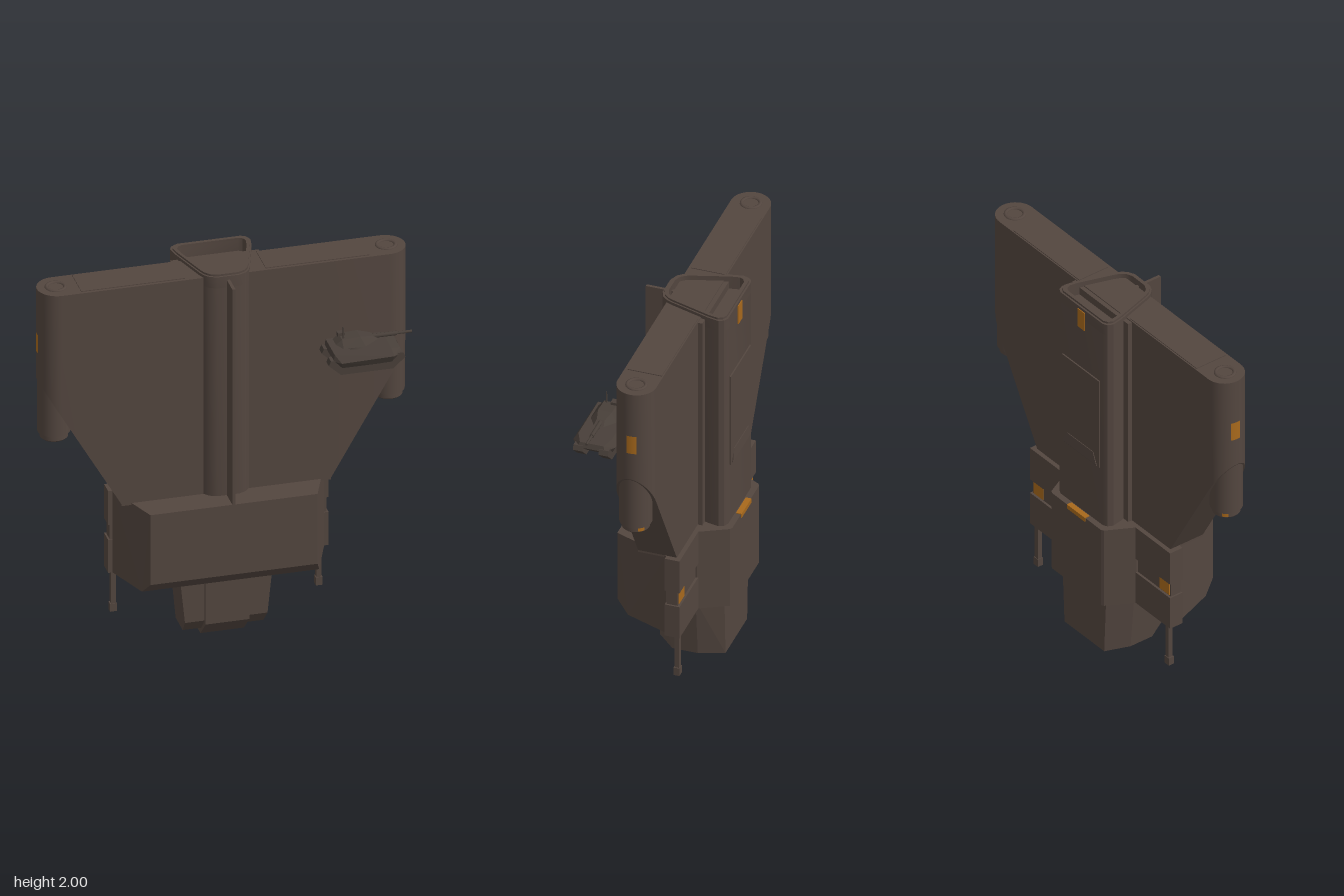
import * as THREE from 'three';
import { toCreasedNormals } from 'three/addons/utils/BufferGeometryUtils.js';
import { ConvexGeometry } from 'three/addons/geometries/ConvexGeometry.js';

const mat = (name, color) => Object.assign(new THREE.MeshStandardMaterial({ color }), { name });

export function createModel() {
  const hull = mat('hull brown', 0x53463f);
  const dark = mat('tank brown', 0x483f39);
  const amber = mat('amber marking', 0xa8691c);
  const root = new THREE.Group();
  root.name = 'tower ship';

  const add = (name, geo, material = hull, parent = root) => {
    const m = new THREE.Mesh(geo, material);
    m.name = name;
    parent.add(m);
    return m;
  };
  // Box given by its limits on each axis
  const box = (name, x0, x1, y0, y1, z0, z1, material, parent) =>
    add(name, new THREE.BoxGeometry(x1 - x0, y1 - y0, z1 - z0)
      .translate((x0 + x1) / 2, (y0 + y1) / 2, (z0 + z1) / 2), material, parent);
  const cyl = (name, rt, rb, y0, y1, x, z, material, parent, n = 32) =>
    add(name, new THREE.CylinderGeometry(rt, rb, y1 - y0, n).translate(x, (y0 + y1) / 2, z), material, parent);
  // Plan outline in x and z, raised from y0 to y1
  const path = pts => pts.map(([x, z]) => new THREE.Vector2(x, -z));
  const prism = (pts, y0, y1, hole) => {
    const s = new THREE.Shape(path(pts));
    if (hole) s.holes.push(new THREE.Path(path(hole)));
    return new THREE.ExtrudeGeometry(s, { depth: y1 - y0, bevelEnabled: false })
      .rotateX(-Math.PI / 2).translate(0, y0, 0);
  };
  const mirror = pts => [...pts, ...pts.map(([x, z]) => [-x, z]).reverse()];
  // Convex solid from half-side points, mirrored across x
  const solid = pts => new ConvexGeometry(
    pts.flatMap(([x, y, z]) => [new THREE.Vector3(x, y, z), new THREE.Vector3(-x, y, z)]));

  // Wing: centre slab and two rounded ends cut along a slope
  const slope = x => 0.8 + (Math.abs(x) - 0.52) * 1.74;
  box('wingCentre', -0.52, 0.52, 0.79, 1.975, -0.137, 0.06);
  for (const s of [-1, 1]) {
    const plan = [[0.52 * s, 0.06], [0.52 * s, -0.137]];
    for (let i = 0; i <= 20; i++) {
      const a = -Math.PI / 2 + (Math.PI * i) / 20;
      plan.push([s * (0.815 + 0.0985 * Math.cos(a)), -0.0385 + 0.0985 * Math.sin(a)]);
    }
    const end = prism(plan, 0, 1.975);
    const p = end.attributes.position;
    for (let i = 0; i < p.count; i++) if (p.getY(i) < 1) p.setY(i, slope(p.getX(i)));
    add('wingEnd', toCreasedNormals(end, 0.5));
    box('wingTopPlate', Math.min(0.2 * s, 0.715 * s), Math.max(0.2 * s, 0.715 * s), 1.97, 1.979, -0.13, 0.045);

    // Pod under the wing tip, with a hollow nozzle and a ring on top
    const x = 0.83 * s, z = -0.0385;
    cyl('pod', 0.08, 0.08, 1.2, 1.6, x, z);
    const nozzle = [[0, 1.195], [0.045, 1.195], [0.045, 1.165], [0.062, 1.165], [0.069, 1.172], [0.069, 1.21]];
    add('podNozzle', toCreasedNormals(new THREE.LatheGeometry(
      nozzle.map(([r, y]) => new THREE.Vector2(r, y)), 32), 0.5).translate(x, 0, z), mat2());
    add('podTopRing', new THREE.TorusGeometry(0.045, 0.01, 8, 32).rotateX(Math.PI / 2)
      .translate(0.82 * s, 1.973, z));

    // Curved amber patch on the wing tip, and a small one on the nozzle
    const patch = (name, r, y0, y1, px, a, w) => add(name, new THREE.CylinderGeometry(
      r, r, y1 - y0, 6, 1, true, a - w / 2, w).translate(px, (y0 + y1) / 2, z), amber);
    patch('wingTipMark', 0.1, 1.635, 1.735, 0.815 * s, s * (Math.PI / 2 - 0.12) + (s > 0 ? 0.2 : -0.2), 0.5);
    patch('nozzleMark', 0.0705, 1.175, 1.193, x, s * 2.3, 0.45);
  }
  function mat2() { hull.side = THREE.DoubleSide; return hull; }

  // Tower with a recessed top
  const tower = mirror([[0.165, -0.272], [0.188, -0.26], [0.2, -0.235], [0.19, -0.18],
    [0.125, 0.03], [0.112, 0.06], [0.09, 0.085], [0.055, 0.1]]);
  const inset = k => tower.map(([x, z]) => [x * k, -0.086 + (z + 0.086) * k]);
  add('tower', toCreasedNormals(prism(tower, 0.79, 1.93), 0.5));
  add('towerRim', toCreasedNormals(prism(tower, 1.93, 1.99, inset(0.85)), 0.5));
  add('towerRimLip', toCreasedNormals(prism(inset(0.95), 1.985, 2, inset(0.85)), 0.5));
  box('towerStrake', -0.22, 0.22, 0.79, 1.97, -0.16, -0.13);
  box('frontFin', -0.008, 0.008, 0.79, 1.97, 0.05, 0.203);

  // Rear hatch on the tower
  box('rearHatch', -0.145, 0.145, 1.13, 1.64, -0.279, -0.27);
  add('hatchLip', solid([[0.13, 1.13, -0.278], [0.13, 1.14, -0.285], [0.1, 1.2, -0.282], [0.1, 1.2, -0.278]]));

  // Lower block with chamfered front corners and bottom edge
  add('lowerBlock', solid([
    [0.415, 0.8, 0.203], [0.525, 0.8, -0.085], [0.525, 0.8, -0.13],
    [0.415, 0.42, 0.203], [0.525, 0.355, -0.085], [0.525, 0.355, -0.13], [0.44, 0.355, 0.14]]));
  add('rearBlock', prism(mirror([[0.19, -0.303], [0.205, -0.295], [0.28, -0.155], [0.28, -0.1]]), 0.355, 0.8));

  // Side panels with a groove between them, marks and landing legs
  for (const s of [-1, 1]) {
    const side = (name, x0, x1, ...r) => box(name, Math.min(s * x0, s * x1), Math.max(s * x0, s * x1), ...r);
    side('upperRearPanel', 0.2, 0.547, 0.615, 0.8, -0.16, -0.085);
    side('lowerRearPanel', 0.2, 0.547, 0.355, 0.535, -0.16, -0.085);
    side('panelGroove', 0.2, 0.538, 0.53, 0.62, -0.148, -0.09);
    side('grooveMark', 0.455, 0.53, 0.54, 0.61, -0.152, -0.147, amber);
    side('leg', 0.498, 0.522, 0.15, 0.36, -0.15, -0.125);
    side('foot', 0.494, 0.528, 0.122, 0.165, -0.153, -0.122);
  }
  box('shelfMark', -0.07, 0.07, 0.798, 0.804, -0.304, -0.278, amber);
  box('shelfEdgeMark', -0.07, 0.07, 0.78, 0.804, -0.307, -0.302, amber);
  box('towerTopMark', -0.028, 0.028, 1.87, 1.975, -0.276, -0.27, amber);

  // Nose below the block, with a stepped centre keel
  add('nose', solid([
    [0.23, 0.36, 0.06], [0.23, 0.36, -0.13], [0.17, 0.36, -0.255],
    [0.205, 0.11, 0.06], [0.2, 0.04, 0], [0.2, 0.04, -0.13], [0.155, 0.04, -0.255]]));
  add('noseKeel', solid([
    [0.108, 0.36, 0.083], [0.108, 0.1, 0.083], [0.108, 0.003, -0.015],
    [0.108, 0.002, -0.148], [0.108, 0.36, -0.148]]));

  // Small hover tank beside the wing, gun toward +x
  const tank = new THREE.Group();
  tank.name = 'tank';
  tank.position.set(0.64, 0, 0.193);
  root.add(tank);
  const across = pts => new ConvexGeometry(
    pts.flatMap(([x, y, z]) => [new THREE.Vector3(x, y, z), new THREE.Vector3(x, y, -z)]));
  add('tankHull', across([
    [-0.16, 1.585, 0.085], [0.12, 1.585, 0.085], [0.17, 1.57, 0.06], [-0.165, 1.55, 0.085],
    [-0.13, 1.545, 0.108], [0.13, 1.55, 0.108], [0.18, 1.545, 0.07],
    [-0.12, 1.495, 0.08], [0.12, 1.495, 0.08]]), dark, tank);
  for (const z of [-0.065, 0.065]) {
    add('hoverPod', new ConvexGeometry([[-0.19, 1.53], [-0.18, 1.555], [0.18, 1.555], [0.19, 1.53],
      [0.13, 1.475], [-0.13, 1.475]].flatMap(([x, y]) =>
      [-0.024, 0.024].map(d => new THREE.Vector3(x, y, z + d)))), dark, tank);
  }
  add('turret', across([
    [-0.14, 1.61, 0.03], [-0.11, 1.6, 0.065], [0, 1.6, 0.065], [0.07, 1.61, 0.025],
    [-0.11, 1.635, 0.035], [-0.02, 1.64, 0.035], [0.04, 1.628, 0.02]]), dark, tank);
  cyl('turretNeck', 0.05, 0.06, 1.58, 1.605, -0.04, 0, dark, tank, 10);
  box('turretHatch', -0.12, -0.085, 1.63, 1.65, -0.035, -0.005, dark, tank);
  const rod = (name, r, x0, x1) => add(name, new THREE.CylinderGeometry(r, r, x1 - x0, 8)
    .rotateZ(Math.PI / 2).translate((x0 + x1) / 2, 1.616, 0), dark, tank);
  rod('gunSleeve', 0.011, 0.03, 0.17);
  rod('gunBarrel', 0.007, 0.15, 0.245);
  cyl('antenna', 0.003, 0.005, 1.62, 1.695, -0.1, 0.02, dark, tank, 6);

  return root;
}
